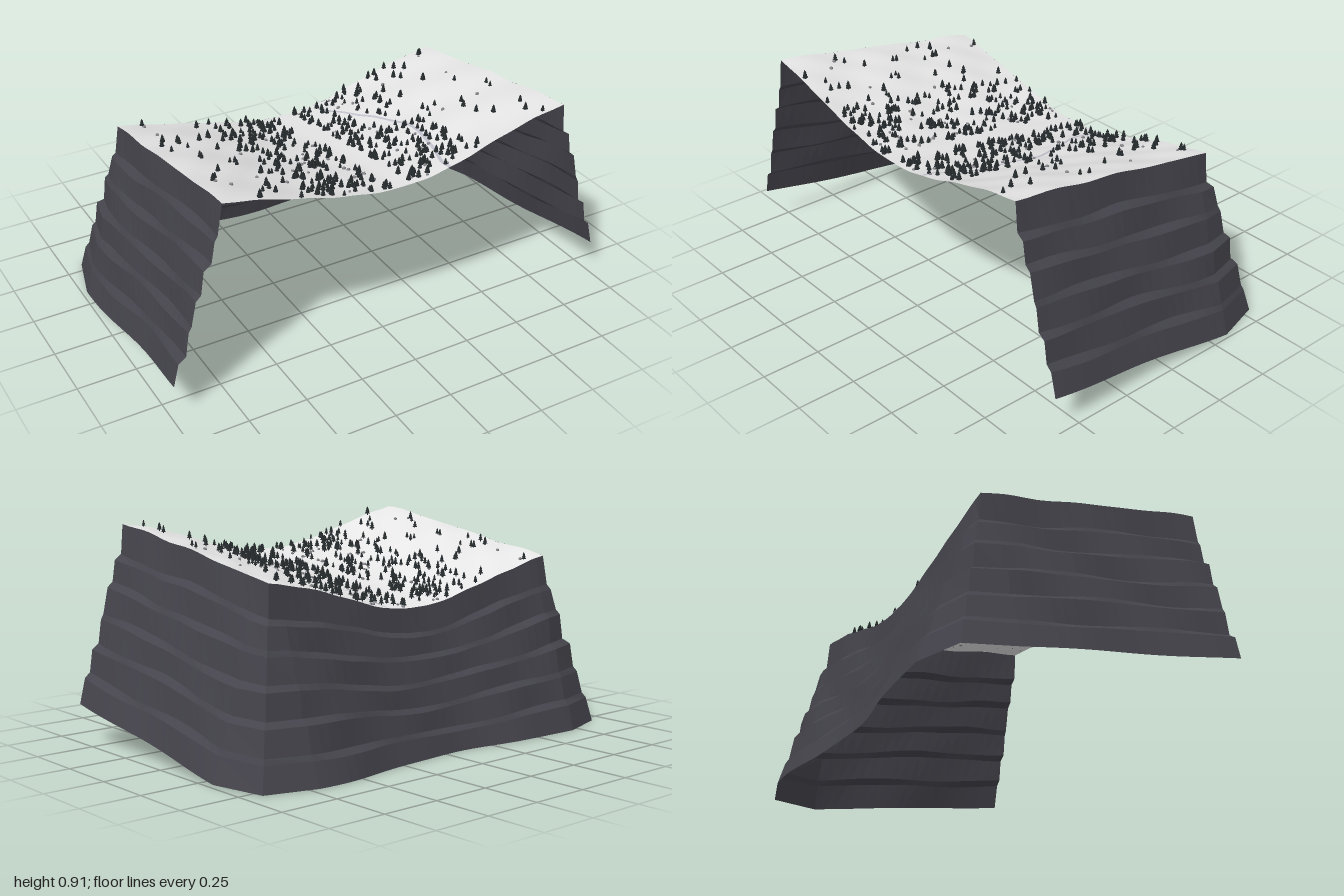
import * as THREE from 'three';
import { mergeGeometries } from 'three/addons/utils/BufferGeometryUtils.js';

const HALF = 0.76, BACK = -0.38, FRONT = 0.61;

const mat = (name, color, extra = {}) => {
  const m = new THREE.MeshStandardMaterial({ color, ...extra });
  m.name = name;
  return m;
};

// Small seeded random generator
function seeded(seed) {
  return () => {
    seed = (seed * 1664525 + 1013904223) % 4294967296;
    return seed / 4294967296;
  };
}

// Valley floor sloping down to the back, with banks on both sides
function height(x, z) {
  const bank = 0.17 * (1 - Math.cos((Math.PI * Math.abs(x)) / 0.9)) / 2;
  const slope = (0.16 * (z - BACK)) / (FRONT - BACK);
  const rough = Math.min(1, Math.abs(x) / 0.15);
  const bumps = 0.004 * Math.sin(9 * x + 5 * z) + 0.003 * Math.sin(17 * z - 8 * x) + 0.0018 * Math.sin(31 * x + 23 * z);
  return 0.58 + slope + bank + bumps * rough;
}

// Surface through a grid of points; facing is set by the order of rows and columns
function gridSurface(rows, flat) {
  const cols = rows[0].length, index = [];
  for (let r = 0; r < rows.length - 1; r++) {
    for (let c = 0; c < cols - 1; c++) {
      const a = r * cols + c, b = a + cols;
      index.push(a, b, a + 1, a + 1, b, b + 1);
    }
  }
  let g = new THREE.BufferGeometry().setFromPoints(rows.flat());
  g.setIndex(index);
  if (flat) g = g.toNonIndexed();
  g.computeVertexNormals();
  return g;
}

// Ribbon laid on the snow along a path given by x(z)
function ribbon(xAt, halfWidth, lift) {
  const rows = [];
  for (let i = 0; i <= 60; i++) {
    const z = BACK + ((FRONT - BACK) * i) / 60, x = xAt(z);
    rows.push([-1, 0, 1].map((s) => {
      const px = x + s * halfWidth;
      return new THREE.Vector3(px, height(px, z) + lift, z);
    }));
  }
  return gridSurface(rows, false);
}

// Rim of the cliffs: left-hand side, back, then the other side, with outward direction and reach
function rimPoints() {
  const rim = [];
  const sideSteps = 20, backSteps = 32;
  const side = (s, i) => {
    const z = FRONT + ((BACK - FRONT) * i) / sideSteps;
    const reach = 0.222 + 0.008 * Math.sin(8 * z + (s > 0 ? 3.9 : 2.6));
    return { x: s * HALF, z, nx: s, nz: 0, reach };
  };
  const corner = (s) => ({ x: s * HALF, z: BACK, nx: s * Math.SQRT1_2, nz: -Math.SQRT1_2, reach: 0.232 });
  for (let i = 0; i < sideSteps; i++) rim.push(side(-1, i));
  rim.push(corner(-1));
  for (let i = 1; i < backSteps; i++) {
    const x = -HALF + (2 * HALF * i) / backSteps;
    const reach = 0.202 - 0.03 * Math.cos((Math.PI * x) / 0.65) + 0.004 * Math.sin(14 * x);
    rim.push({ x, z: BACK, nx: 0, nz: -1, reach });
  }
  rim.push(corner(1));
  for (let i = sideSteps - 1; i >= 0; i--) rim.push(side(1, i));
  return rim;
}

function cliffGeometry() {
  // Fraction of drop and of reach: steep faces broken by narrow sloping ledges
  const profile = [
    [0, 0], [0.17, 0.07], [0.2, 0.17], [0.33, 0.25], [0.36, 0.35], [0.5, 0.43],
    [0.53, 0.53], [0.66, 0.6], [0.69, 0.7], [0.83, 0.78], [0.86, 0.88], [1, 1],
  ];
  const rim = rimPoints();
  const rows = profile.map(([drop, out], k) => {
    const band = Math.floor((k + 1) / 2), inner = out > 0 && out < 1 ? 1 : 0;
    return rim.map((p, i) => {
      const top = height(p.x, p.z);
      const base = (0.16 * (p.z - BACK)) / (FRONT - BACK);
      const wave = inner * Math.sin(i * 0.55 + band * 2.1);
      const o = p.reach * (out + 0.03 * wave * (k % 2 ? 1 : -0.6));
      const d = drop + inner * 0.008 * Math.sin(i * 0.37 + band * 1.7);
      return new THREE.Vector3(p.x + p.nx * o, top + (base - top) * d, p.z + p.nz * o);
    });
  });
  rows.reverse();
  return gridSurface(rows.map((r) => r.slice().reverse()), true);
}

// One conifer: trunk and three stacked cones
function treeGeometry() {
  const parts = [new THREE.CylinderGeometry(0.002, 0.002, 0.014, 5).translate(0, 0.003, 0)];
  [[0.011, 0.016, 0.014], [0.0085, 0.014, 0.022], [0.006, 0.013, 0.03]].forEach(([r, h, y]) => {
    parts.push(new THREE.ConeGeometry(r, h, 6).translate(0, y, 0));
  });
  return mergeGeometries(parts);
}

// Copies of a shape scattered over the snow, thickest near the valley floor
function scatter(base, count, seed, clear, spread, lift) {
  const rand = seeded(seed), copies = [], dummy = new THREE.Object3D();
  for (let i = 0; i < count; i++) {
    const s = rand() < 0.5 ? -1 : 1;
    const near = rand() < 0.72;
    const x = s * (clear + (near ? spread * Math.pow(rand(), 1.1) : (0.7 - clear) * rand()));
    const z = BACK + 0.01 + (FRONT - BACK - 0.02) * rand();
    dummy.position.set(x, height(x, z) + lift, z);
    dummy.rotation.y = rand() * Math.PI * 2;
    dummy.scale.setScalar(0.7 + 0.45 * rand());
    dummy.updateMatrix();
    copies.push(base.clone().applyMatrix4(dummy.matrix));
  }
  return mergeGeometries(copies);
}

export function createModel() {
  const both = { side: THREE.DoubleSide };
  const snow = mat('snow', 0xe6e6e6, both);
  const packedSnow = mat('packed snow', 0xf0f0f0, both);
  const ice = mat('stream ice', 0xc3c3cf, both);
  const rock = mat('dark rock', 0x45444c, both);
  const boulder = mat('boulder grey', 0x85858a, { flatShading: true });
  const conifer = mat('conifer', 0x23282a, { flatShading: true });

  const model = new THREE.Group();
  model.name = 'snowyValley';
  const add = (name, geometry, material) => {
    const mesh = new THREE.Mesh(geometry, material);
    mesh.name = name;
    model.add(mesh);
  };

  // Snow field
  const rows = [];
  for (let j = 0; j <= 60; j++) {
    const z = BACK + ((FRONT - BACK) * j) / 60, row = [];
    for (let i = 0; i <= 96; i++) {
      const x = -HALF + (2 * HALF * i) / 96;
      row.push(new THREE.Vector3(x, height(x, z), z));
    }
    rows.push(row);
  }
  add('snowField', gridSurface(rows, false), snow);

  // Groomed track down the middle and the winding stream
  add('track', ribbon(() => 0.007, 0.026, 0.003), packedSnow);
  const bends = new THREE.CatmullRomCurve3([
    [0.17, -0.4], [0.17, -0.26], [0.22, -0.12], [0.27, 0], [0.31, 0.15], [0.3, 0.28], [0.27, 0.42], [0.22, 0.56], [0.22, 0.63],
  ].map(([x, z]) => new THREE.Vector3(x, 0, z)));
  const course = bends.getPoints(120);
  const streamX = (z) => {
    const i = Math.max(1, course.findIndex((p) => p.z >= z));
    const a = course[i - 1], b = course[i];
    return a.x + ((b.x - a.x) * (z - a.z)) / (b.z - a.z);
  };
  add('stream', ribbon(streamX, 0.007, 0.002), ice);

  // Stepped cliffs on the sides and back
  add('cliffs', cliffGeometry(), rock);

  // Trees and boulders
  add('trees', scatter(treeGeometry(), 460, 11, 0.045, 0.33, 0), conifer);
  add('boulders', scatter(new THREE.DodecahedronGeometry(0.008), 70, 29, 0.05, 0.26, 0.002), boulder);
  return model;
}
